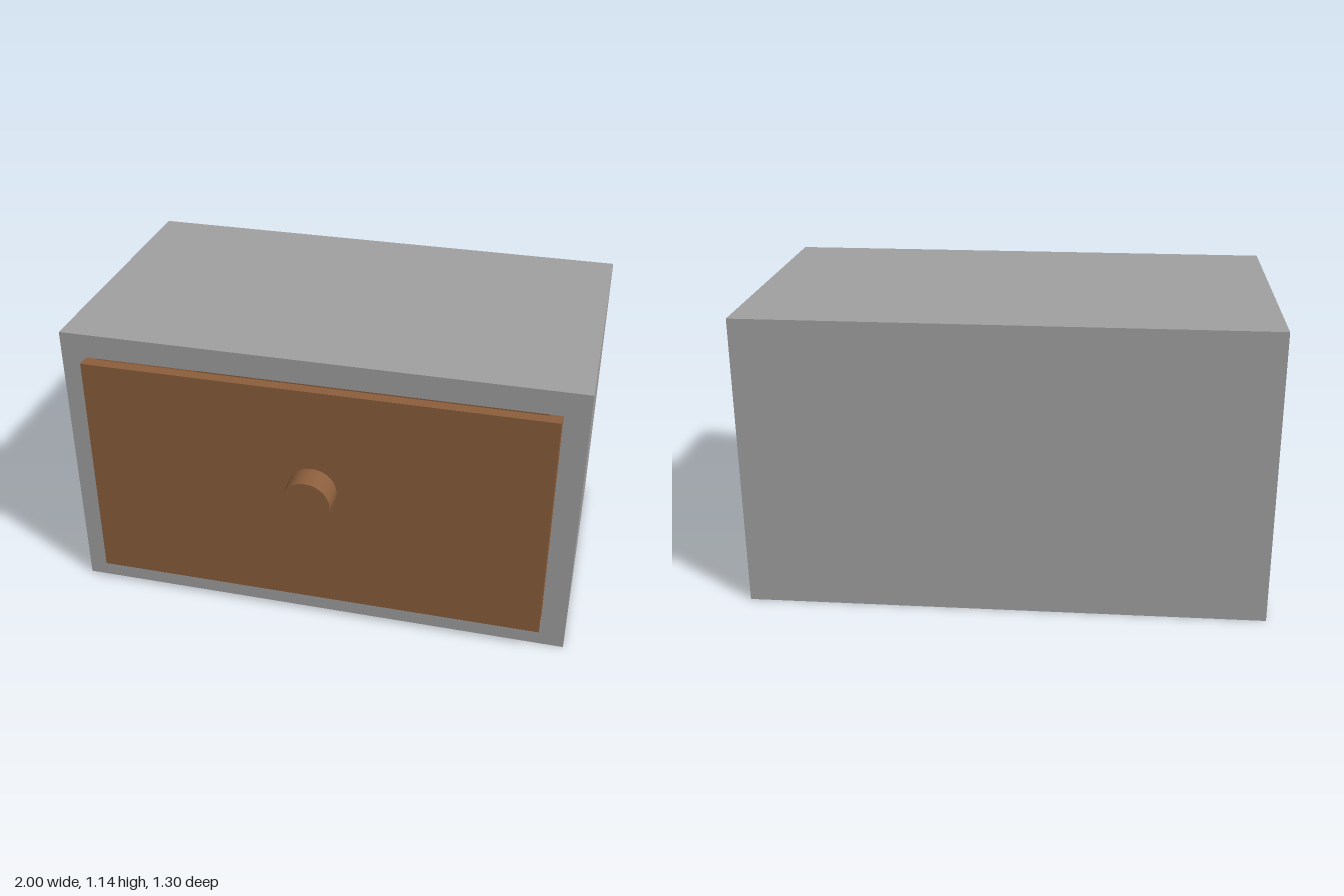
import * as THREE from 'three';

export function createModel() {
  const model = new THREE.Group();
  const grey = new THREE.MeshStandardMaterial({ color: 0xa0a0a0 });
  grey.name = 'grey cabinet';
  const brown = new THREE.MeshStandardMaterial({ color: 0x8b5e3c });
  brown.name = 'brown wood';

  const add = (parent, name, geometry, material, x, y, z) => {
    const mesh = new THREE.Mesh(geometry, material);
    mesh.name = name;
    mesh.position.set(x, y, z);
    parent.add(mesh);
    return mesh;
  };

  const W = 2, H = 1.145, back = -0.65, front = 0.495, wall = 0.096;

  // Cabinet shell: a rectangular tube, closed at the rear
  const outline = new THREE.Shape([
    new THREE.Vector2(-W / 2, 0), new THREE.Vector2(W / 2, 0),
    new THREE.Vector2(W / 2, H), new THREE.Vector2(-W / 2, H),
  ]);
  const ix = W / 2 - wall;
  outline.holes.push(new THREE.Path([
    new THREE.Vector2(-ix, wall), new THREE.Vector2(-ix, H - wall),
    new THREE.Vector2(ix, H - wall), new THREE.Vector2(ix, wall),
  ]));
  const shell = new THREE.ExtrudeGeometry(outline, { depth: front - back, bevelEnabled: false });
  add(model, 'cabinetShell', shell, grey, 0, 0, back);
  add(model, 'cabinetBack', new THREE.BoxGeometry(ix * 2, H - wall * 2, wall),
    grey, 0, H / 2, back + wall / 2);

  // Open-topped drawer, standing slightly proud of the cabinet
  const drawer = new THREE.Group();
  drawer.name = 'drawer';
  model.add(drawer);
  const dw = 1.804, dh = 0.949, t = 0.045, dFront = 0.545, dBack = -0.55;
  const midY = H / 2, length = dFront - t - dBack, midZ = dBack + length / 2;
  add(drawer, 'drawerFront', new THREE.BoxGeometry(dw, dh, t), brown, 0, midY, dFront - t / 2);
  for (const s of [-1, 1]) {
    add(drawer, s > 0 ? 'drawerLeftSide' : 'drawerRightSide',
      new THREE.BoxGeometry(t, dh, length), brown, s * (dw - t) / 2, midY, midZ);
  }
  add(drawer, 'drawerBottom', new THREE.BoxGeometry(dw - t * 2, t, length),
    brown, 0, midY - (dh - t) / 2, midZ);
  add(drawer, 'drawerBack', new THREE.BoxGeometry(dw - t * 2, dh - t, t),
    brown, 0, midY + t / 2, dBack + t / 2);

  // Round knob
  const knob = add(drawer, 'knob', new THREE.CylinderGeometry(0.095, 0.095, 0.105, 48),
    brown, 0, 0.62, dFront + 0.0525);
  knob.rotation.x = Math.PI / 2;

  return model;
}
